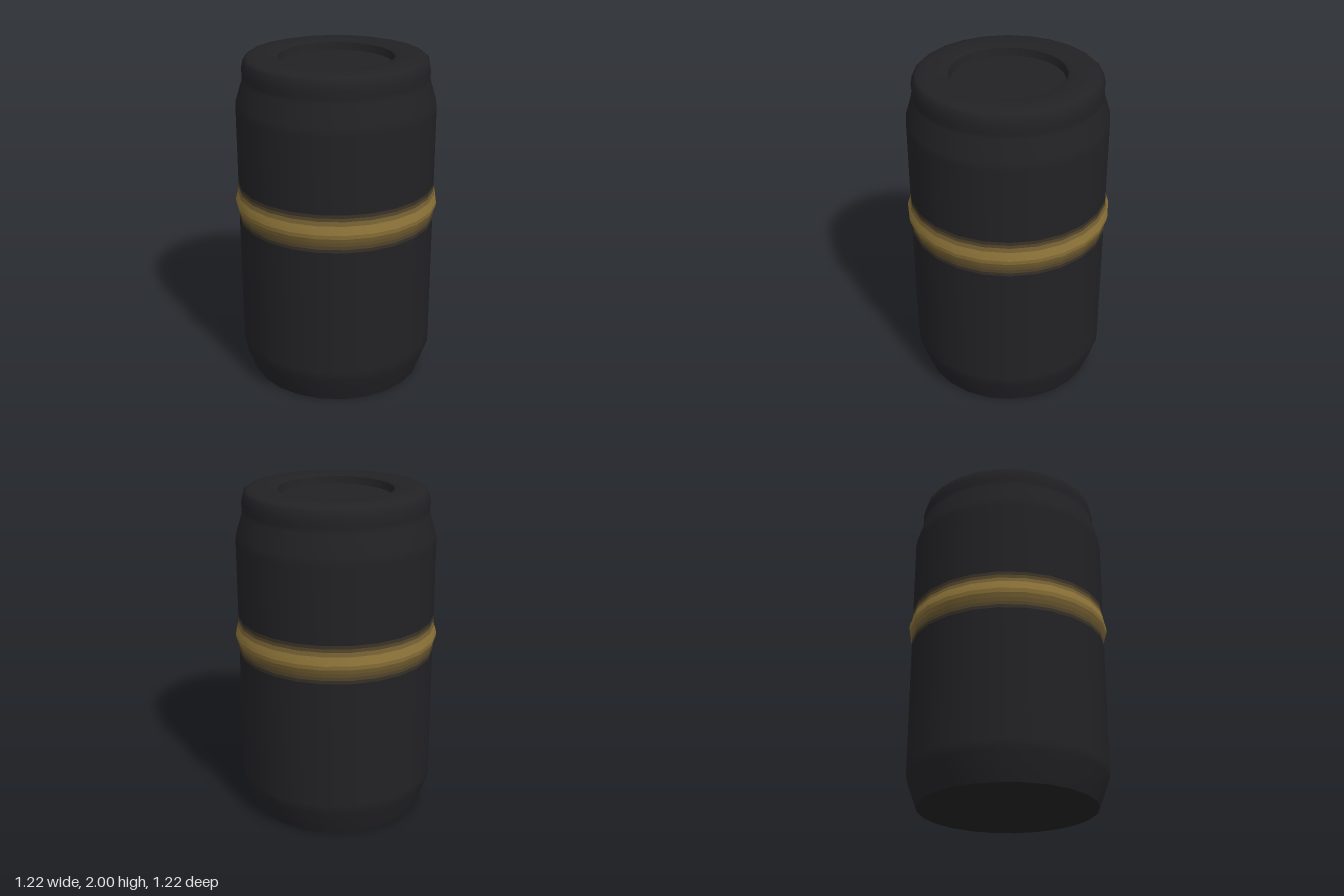
import * as THREE from 'three';

const SIDES = 24;
const DARK = new THREE.Color(0x222225);
const GOLD = new THREE.Color(0x8f7539);

// Turned surface from [radius, height] pairs, listed from bottom to top
function turned(name, profile, color) {
  const points = profile.map(([r, y]) => new THREE.Vector2(r, y));
  const geometry = new THREE.LatheGeometry(points, SIDES, 0.04);
  const mesh = new THREE.Mesh(geometry, new THREE.MeshStandardMaterial({ color }));
  mesh.name = name;
  return mesh;
}

export function createModel() {
  const group = new THREE.Group();
  group.name = 'canister';

  // Flat base and tapered foot
  group.add(turned('base', [[0, 0], [0.528, 0]], DARK));
  group.add(turned('lowerBody', [[0.528, 0], [0.588, 0.165], [0.59, 0.22], [0.59, 1]], DARK));

  // Raised band, fading from dark to gold and back in thin rings
  const band = new THREE.Group();
  band.name = 'band';
  const rings = [
    [0.59, 1.0, 0.08], [0.59, 1.02, 0.25], [0.59, 1.04, 0.5], [0.596, 1.063, 0.72],
    [0.606, 1.09, 0.9], [0.609, 1.115, 1], [0.605, 1.14, 0.9], [0.596, 1.165, 0.6],
    [0.59, 1.19, 0.3], [0.59, 1.21, 0.1], [0.59, 1.23, 0],
  ];
  for (let i = 0; i < rings.length - 1; i++) {
    const [r0, y0, mix] = rings[i];
    const [r1, y1] = rings[i + 1];
    band.add(turned('bandRing', [[r0, y0], [r1, y1]], DARK.clone().lerp(GOLD, mix)));
  }
  group.add(band);

  // Upper body, shoulder and rounded rim
  group.add(turned('upperBody', [
    [0.59, 1.23], [0.59, 1.68], [0.587, 1.73], [0.55, 1.85], [0.547, 1.88],
    [0.55, 1.92], [0.54, 1.97], [0.52, 1.988], [0.48, 1.998], [0.42, 2],
    [0.36, 1.997], [0.34, 1.985],
  ], DARK));

  // Shallow round recess in the lid
  group.add(turned('recessWall', [[0.34, 1.985], [0.33, 1.94]], DARK));
  group.add(turned('recessFloor', [[0.33, 1.94], [0, 1.94]], DARK));
  return group;
}
